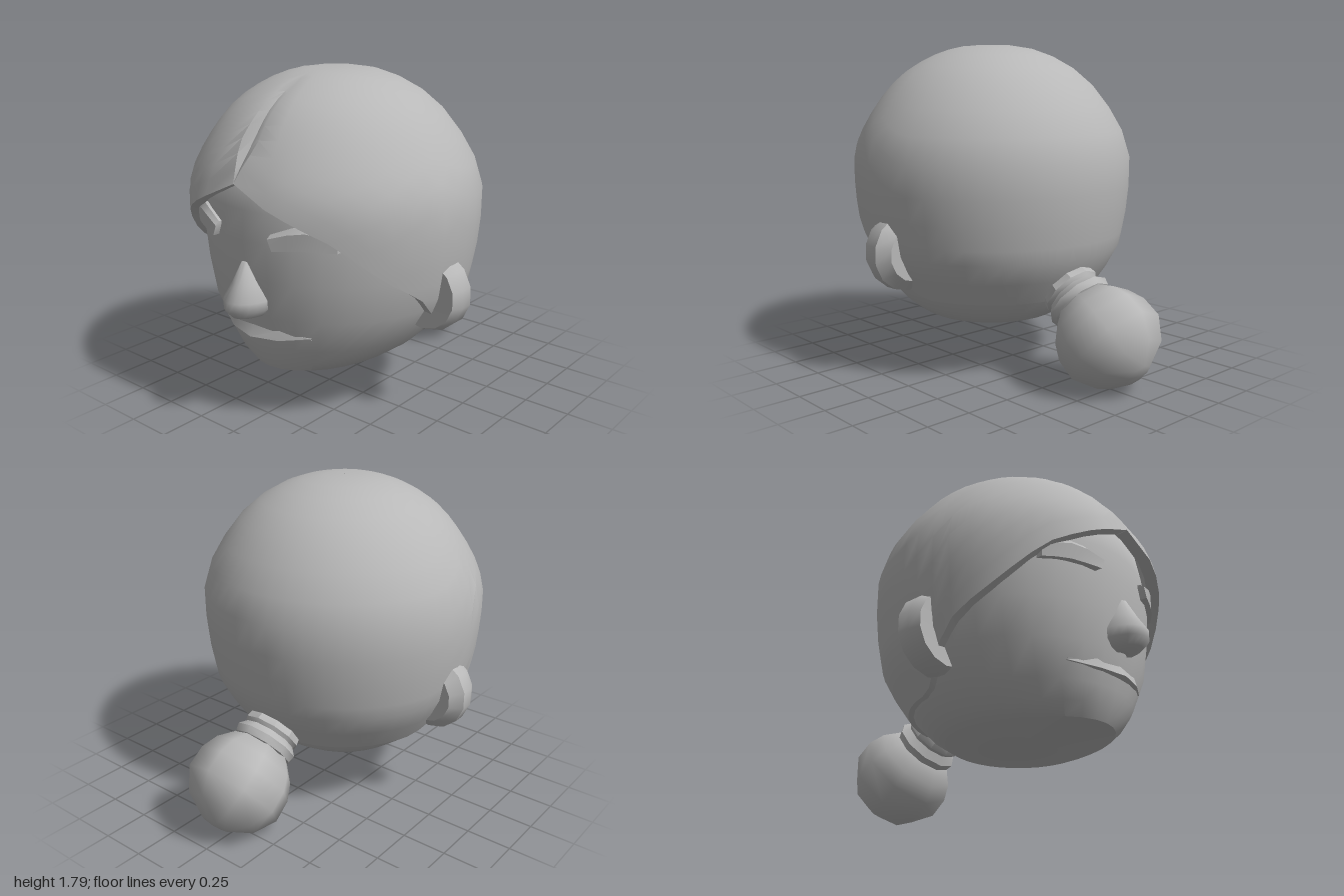
import * as THREE from 'three';
import { toCreasedNormals } from 'three/addons/utils/BufferGeometryUtils.js';

const CZ = 0.175; // depth of the head axis
const rad = THREE.MathUtils.degToRad;

// Linear lookup in a list of [input, output], inputs ascending
function lookup(list, v) {
  if (v <= list[0][0]) return list[0][1];
  for (let i = 1; i < list.length; i++) {
    const [a, p] = list[i - 1], [b, q] = list[i];
    if (v <= b) return p + (q - p) * (v - a) / (b - a);
  }
  return list[list.length - 1][1];
}

// Surface from a rule: rows run downwards, columns to the right seen from outside
function grid(rows, cols, rule, crease = 40) {
  const pos = [], index = [];
  for (let i = 0; i < rows; i++) for (let j = 0; j < cols; j++) pos.push(...rule(i, j));
  for (let i = 0; i < rows - 1; i++) for (let j = 0; j < cols - 1; j++) {
    const a = i * cols + j, b = a + cols;
    index.push(a, b, a + 1, b, b + 1, a + 1);
  }
  const g = new THREE.BufferGeometry();
  g.setAttribute('position', new THREE.Float32BufferAttribute(pos, 3));
  g.setIndex(index);
  return toCreasedNormals(g, rad(crease));
}

function lathe(profile, sides, crease) {
  const g = new THREE.LatheGeometry(profile.map(p => new THREE.Vector2(...p)), sides);
  return toCreasedNormals(g, rad(crease));
}

// Half width, front and back of the head at each height, from top to bottom
const HEAD = [
  [1.6, 0.01, 0.2, 0.15], [1.55, 0.4, 0.55, -0.2], [1.3, 0.71, 0.85, -0.48], [1.15, 0.735, 0.875, -0.53],
  [1.0, 0.74, 0.885, -0.53], [0.8, 0.71, 0.875, -0.52], [0.6, 0.665, 0.85, -0.48], [0.42, 0.56, 0.8, -0.39],
  [0.33, 0.47, 0.77, -0.3], [0.265, 0.38, 0.73, -0.2], [0.24, 0.001, 0.176, 0.174],
];

function headGeometry() {
  return grid(HEAD.length, 33, (i, j) => {
    const [y, hx, zf, zb] = HEAD[i], a = j / 32 * Math.PI * 2, c = Math.cos(a);
    return [hx * Math.sin(a), y, CZ + c * (c > 0 ? zf - CZ : CZ - zb)];
  }, 45);
}

// Depth of the face surface at a point
function faceZ(x, y) {
  const up = HEAD.slice().reverse();
  const hx = lookup(up.map(r => [r[0], r[1]]), y), zf = lookup(up.map(r => [r[0], r[2]]), y);
  return CZ + (zf - CZ) * Math.sqrt(Math.max(0, 1 - (x / hx) ** 2));
}

// Hair: a revolved cap with a hairline that varies around the head and a sunk parting
function hairGeometry() {
  const profile = [[0.001, 1.79], [0.18, 1.78], [0.36, 1.72], [0.54, 1.6], [0.69, 1.41], [0.785, 1.2],
    [0.785, 0.95], [0.755, 0.75], [0.72, 0.62], [0.59, 0.42]];
  const curve = new THREE.SplineCurve(profile.map(p => new THREE.Vector2(...p)));
  const stepAtY = profile.map((p, i) => [p[1], i / 9]).reverse();
  const hairline = [[0, 1.3], [15, 1.2], [39, 1.05], [55, 0.88], [75, 0.7], [84, 0.58], [95, 0.46], [105, 0.42], [180, 0.42]];
  const parting = [[1.3, 0], [1.47, 0.058], [1.72, 0.035], [1.78, 0]];
  const angles = [0, 2];
  for (let a = 15; a <= 345; a += 7.5) angles.push(a);
  angles.push(358, 360);
  const rows = 15, n = angles.length;
  return grid(rows + 1, n, (i, j) => {
    let deg = angles[j];
    const end = lookup(stepAtY, lookup(hairline, Math.min(deg, 360 - deg)));
    const p = curve.getPoint(end * Math.min(i, rows - 1) / (rows - 1));
    const w = lookup(parting, p.y);
    let r = p.x;
    if (j === 0 || j === n - 1) r -= w * 0.6;
    if (j === 1 || j === n - 2) {
      const edge = THREE.MathUtils.radToDeg(Math.asin(Math.min(0.2, Math.max(w, 0.002) / r)));
      deg = j === 1 ? edge : 360 - edge;
    }
    if (i === rows) r -= 0.065; // rim turned in towards the head
    return [r * Math.sin(rad(deg)), p.y, CZ + r * Math.cos(rad(deg))];
  }, 32);
}

// Nose: stacked half ellipses growing towards the tip
function noseGeometry() {
  const rows = [[0.895, 0.02, 0.86], [0.885, 0.035, 0.89], [0.78, 0.085, 0.945], [0.7, 0.128, 0.995],
    [0.65, 0.122, 0.995], [0.61, 0.085, 0.96], [0.597, 0.05, 0.86]];
  return grid(rows.length, 13, (i, j) => {
    const [y, hx, z] = rows[i], a = (j / 12 - 0.5) * Math.PI;
    return [hx * Math.sin(a), y, 0.82 + (z - 0.82) * Math.cos(a)];
  }, 50);
}

// Lips: a wedge whose lower edge stands out
function mouthGeometry() {
  const cols = [[-0.31, 0.508, 0.5], [-0.16, 0.533, 0.483], [0, 0.54, 0.478], [0.16, 0.533, 0.483], [0.31, 0.508, 0.5]];
  return grid(4, 5, (i, j) => {
    const [x, top, low] = cols[j], z = faceZ(x, 0.51), out = 0.035 * (1 - Math.abs(x) / 0.33);
    return [x, i < 2 ? top : low, z + [-0.06, 0.005, out, -0.06][i]];
  }, 25);
}

// Closed eyelid following the face, with an overhanging lower edge
function eyelidGeometry(side) {
  const cols = [[0.18, 1.06, 1.05], [0.18, 1.06, 1.05], [0.28, 1.1, 1.0], [0.36, 1.115, 1.005], [0.43, 1.1, 1.0], [0.488, 1.045, 1.02], [0.488, 1.045, 1.02]];
  const lowest = [0.985, 0.985, 0.992, 0.998, 0.996, 0.992, 0.992];
  return grid(5, 7, (i, j) => {
    const k = side > 0 ? j : 6 - j, [x, top] = cols[k];
    const low = lowest[k], y = [top, top, top * 0.75 + low * 0.25, low, low][i];
    const inside = k === 0 || k === 6 || i === 0 || i === 4;
    const lx = x + (k < 2 && i > 2 ? 0.025 : 0);
    return [side * lx, y, faceZ(x, 1.03) + (inside ? -0.08 : [0, 0.012, 0.035, 0.032][i])];
  }, 25);
}

export function createModel() {
  const model = new THREE.Group();
  const clay = new THREE.MeshStandardMaterial({ color: 0xb8b8b8 });
  clay.name = 'clay grey';
  clay.side = THREE.DoubleSide;
  const add = (name, geometry) => {
    const mesh = new THREE.Mesh(geometry, clay);
    mesh.name = name;
    model.add(mesh);
    return mesh;
  };

  add('head', headGeometry());
  add('hair', hairGeometry());
  add('nose', noseGeometry());
  add('mouth', mouthGeometry());

  for (const side of [1, -1]) {
    const label = side > 0 ? 'left' : 'right';
    add(label + 'Eyelid', eyelidGeometry(side));
    // Ear: a disc facing forward, bevelled at the back
    const ear = lathe([[0, 0.07], [0.155, 0.07], [0.215, 0.13], [0.215, 0.2], [0.19, 0.258], [0, 0.25]], 14, 35);
    ear.rotateX(Math.PI / 2);
    const mesh = add(label + 'Ear', ear);
    // Lathe y became z, so the disc lies in the x-y plane
    mesh.position.set(side * 0.64, 0.687, 0);
  }

  // Ponytail and its tie share one axis, sloping down and back
  const tail = new THREE.Group();
  tail.name = 'ponytail';
  tail.position.set(0, 0.28, -0.72);
  tail.rotation.x = -Math.PI + Math.atan2(0.8, 0.6);
  const bun = new THREE.Mesh(lathe([[0, -0.24], [0.16, -0.22], [0.24, -0.13], [0.277, -0.04], [0.28, 0.08],
    [0.205, 0.2], [0.075, 0.27], [0, 0.28]], 8, 60), clay);
  bun.name = 'tailBall';
  const tie = new THREE.Mesh(lathe([[0, -0.42], [0.12, -0.4], [0.155, -0.36], [0.165, -0.31], [0.15, -0.29], [0.185, -0.25],
    [0.175, -0.21], [0.13, -0.19]], 10, 35), clay);
  tie.name = 'hairTie';
  tail.add(bun, tie);
  model.add(tail);
  return model;
}
